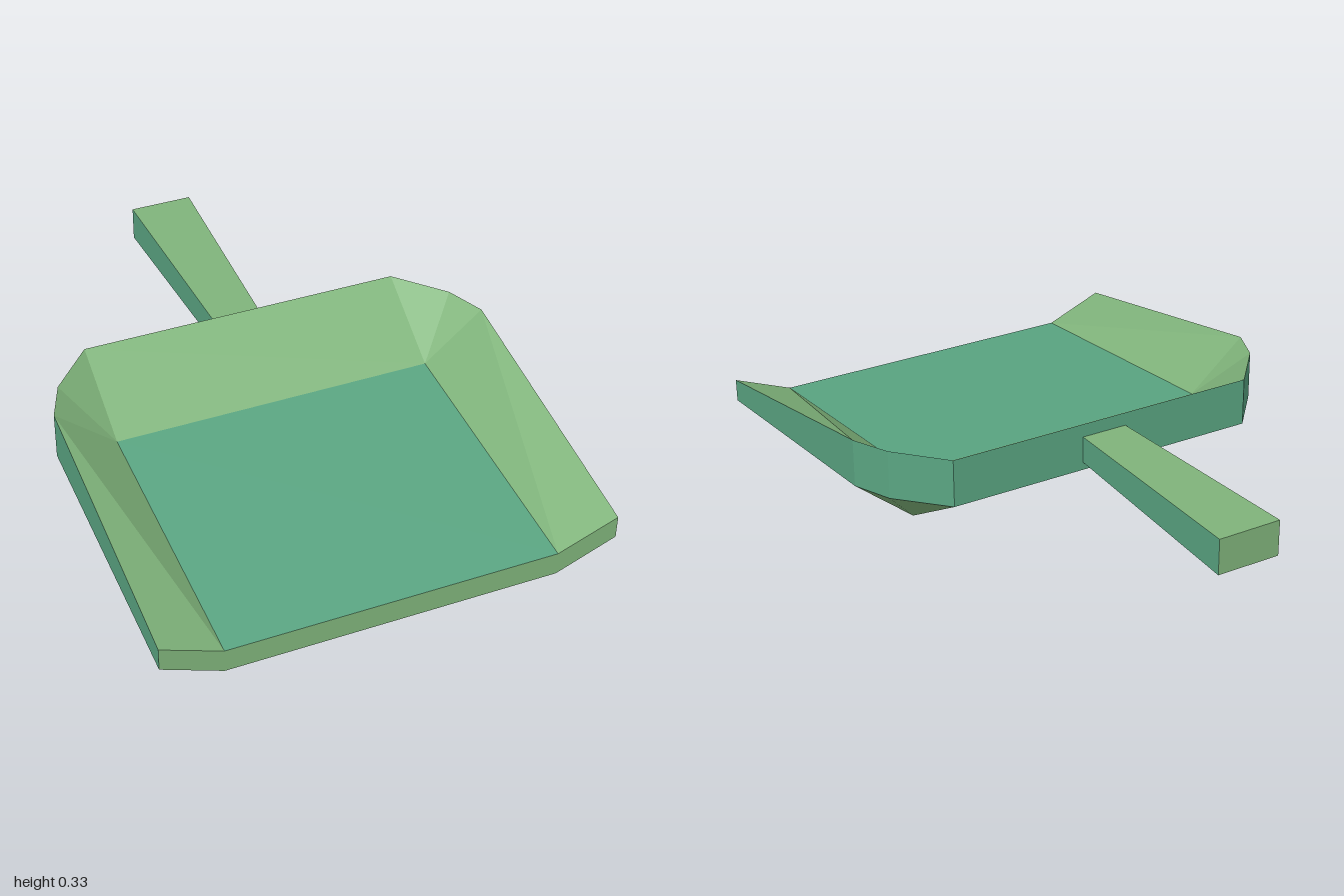
import * as THREE from 'three';

const leaf = new THREE.MeshStandardMaterial({ color: 0x80b47b });
leaf.name = 'leaf green';
const teal = new THREE.MeshStandardMaterial({ color: 0x5aa582 });
teal.name = 'teal green';

const mirror = ([x, y, z]) => [-x, y, z];

// Mesh from flat polygons, each cut as a fan from its first corner
function polyMesh(name, material, polygons) {
  const pos = [];
  for (const p of polygons)
    for (let i = 1; i < p.length - 1; i++) pos.push(...p[0], ...p[i], ...p[i + 1]);
  const g = new THREE.BufferGeometry();
  g.setAttribute('position', new THREE.Float32BufferAttribute(pos, 3));
  g.computeVertexNormals();
  const m = new THREE.Mesh(g, material);
  m.name = name;
  return m;
}

// A polygon on the +x side together with its mirror image
const both = ([first, ...rest]) => [
  [first, ...rest],
  [first, ...rest.reverse()].map(mirror),
];
// A quad spanning the centre line from edge a-b to its mirror
const across = (a, b) => [a, b, mirror(b), mirror(a)];
const flip = (polys) => polys.map(([first, ...rest]) => [first, ...rest.reverse()]);

// Sloped sides, bevelled corners and back between a floor and a rim
const slopes = (floor, rim) => [
  ...both([floor[0], rim[0], rim[1], floor[1]]),
  ...both([floor[1], rim[1], rim[2], rim[3]]),
  across(floor[1], rim[3]),
];

function createPan() {
  // Half outline of the rim, front to back, at its upper and lower edge
  const outline = [[0.745, 1], [0.745, 0.07], [0.69, -0.06], [0.548, -0.22]];
  const rim = (ys) => outline.map(([x, z], i) => [x, ys[i], z]);
  const upper = rim([0.16, 0.327, 0.33, 0.33]);
  const lower = rim([0.082, 0.165, 0.165, 0.168]);
  const floor = [[0.545, 0.08, 1], [0.545, 0.16, 0.07]];
  const base = [[0.545, 0, 1], [0.545, 0, 0.07]];

  const walls = [[lower[3], mirror(lower[3]), mirror(upper[3]), upper[3]]];
  for (let i = 0; i < 3; i++)
    walls.push(...both([lower[i], lower[i + 1], upper[i + 1], upper[i]]));

  const pan = new THREE.Group();
  pan.name = 'pan';
  pan.add(
    polyMesh('panFloor', teal, [across(floor[0], floor[1])]),
    polyMesh('innerSlopes', leaf, slopes(floor, upper)),
    polyMesh('underside', leaf, flip([across(base[0], base[1]), ...slopes(base, lower)])),
    polyMesh('outerWalls', teal, walls),
    polyMesh('frontLip', leaf, [
      across(base[0], floor[0]),
      ...both([base[0], lower[0], upper[0], floor[0]]),
    ]),
  );
  return pan;
}

// Handle flaring towards its free end
function createHandle() {
  const g = new THREE.BoxGeometry(0.16, 0.09, 0.78);
  const p = g.attributes.position;
  for (let i = 0; i < p.count; i++) {
    if (p.getZ(i) < 0) p.setXY(i, p.getX(i) * 1.35, p.getY(i) * 1.33);
  }
  g.computeVertexNormals();
  const handle = new THREE.Mesh(g, [teal, teal, leaf, leaf, leaf, leaf]);
  handle.name = 'handle';
  handle.position.set(0, 0.24, -0.61);
  return handle;
}

export function createModel() {
  const model = new THREE.Group();
  model.name = 'dustpan';
  model.add(createPan(), createHandle());
  return model;
}
